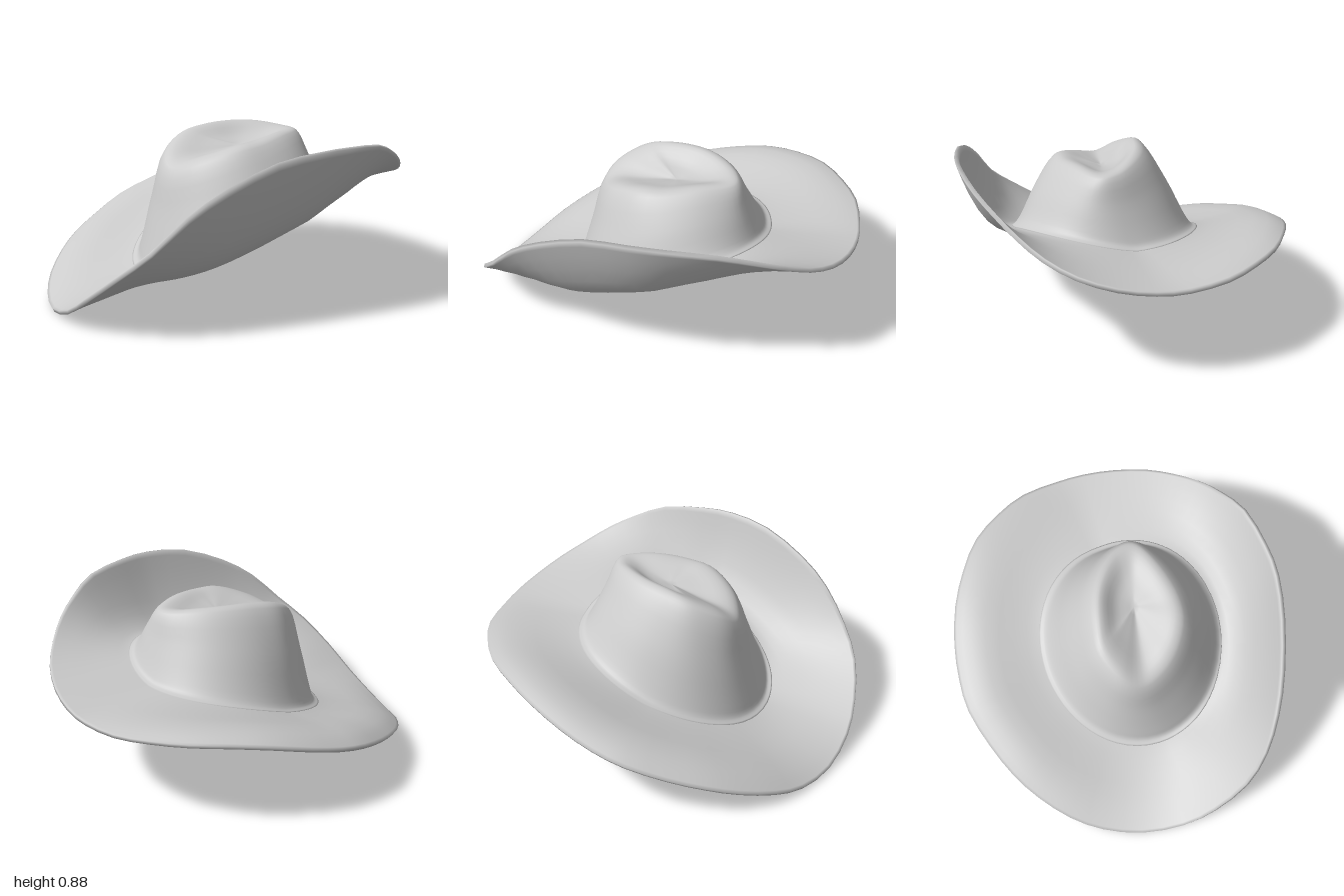
import * as THREE from 'three';
import { mergeVertices } from 'three/addons/utils/BufferGeometryUtils.js';

const V = (x, y, z) => new THREE.Vector3(x, y, z);
const closedCurve = (pts) => new THREE.CatmullRomCurve3(pts.map((p) => V(...p)), true, 'catmullrom', 0.5);
const COLUMNS = 62;

// Brim edge, from the back round by the right-hand side (-x) to the front and the raised side (+x)
const rim = closedCurve([
  [0, 0.53, -0.995], [-0.2, 0.54, -0.975], [-0.37, 0.55, -0.9], [-0.53, 0.555, -0.79], [-0.65, 0.54, -0.64],
  [-0.75, 0.505, -0.47], [-0.82, 0.445, -0.28], [-0.855, 0.385, -0.1], [-0.86, 0.335, 0.07], [-0.81, 0.265, 0.27],
  [-0.74, 0.205, 0.45], [-0.65, 0.145, 0.6], [-0.52, 0.08, 0.75], [-0.37, 0.03, 0.86], [-0.17, 0.025, 0.95],
  [0.05, 0.09, 0.995], [0.22, 0.2, 0.99], [0.4, 0.34, 0.94], [0.53, 0.47, 0.84], [0.625, 0.63, 0.7],
  [0.705, 0.75, 0.53], [0.785, 0.85, 0.3], [0.84, 0.88, 0.08], [0.85, 0.88, -0.1], [0.83, 0.86, -0.33],
  [0.77, 0.8, -0.5], [0.705, 0.74, -0.63], [0.615, 0.67, -0.75], [0.49, 0.61, -0.86], [0.33, 0.565, -0.94],
  [0.16, 0.54, -0.985],
]);

// Ridge around the dented crown top, every 30 degrees from +x towards +z
const ridge = closedCurve([
  [0.335, 0.845, 0.0], [0.31, 0.83, 0.14], [0.2, 0.775, 0.28], [0.04, 0.725, 0.35],
  [-0.07, 0.79, 0.3], [-0.13, 0.86, 0.16], [-0.11, 0.89, 0.02], [-0.06, 0.9, -0.13],
  [0.02, 0.895, -0.25], [0.13, 0.875, -0.34], [0.23, 0.865, -0.34], [0.3, 0.865, -0.18],
]);
const dent = V(0.12, 0.785, -0.04);

// Saddle-shaped oval where crown and brim meet
function seam(angle) {
  const c = Math.cos(angle), s = Math.sin(angle);
  const y = 0.35 - 0.168 * s + 0.06 * c + 0.07 * c * c + 0.05 * Math.abs(c) * Math.max(0, -s);
  return V(0.1 + 0.47 * c, y, 0.51 * s);
}

// Smooth surface through rows of points that close on themselves
function surface(rows) {
  const n = rows[0].length, index = [];
  for (let i = 0; i < rows.length - 1; i++) {
    for (let j = 0; j < n; j++) {
      const k = (j + 1) % n, a = i * n + j, b = a + n, c = i * n + k, d = c + n;
      index.push(a, b, c, c, b, d);
    }
  }
  const geometry = new THREE.BufferGeometry().setFromPoints(rows.flat());
  geometry.setIndex(index);
  geometry.computeVertexNormals();
  return geometry;
}

// Give a surface thickness by adding its inner side, in reverse row order
function shell(rows, thickness) {
  const normals = surface(rows).getAttribute('normal');
  const n = rows[0].length;
  const inner = rows.map((row, i) => row.map((p, j) =>
    p.clone().addScaledVector(V(0, 0, 0).fromBufferAttribute(normals, i * n + j), -thickness)));
  const geometry = mergeVertices(surface([...rows, ...inner.reverse()]).deleteAttribute('normal'), 1e-5);
  geometry.computeVertexNormals();
  return geometry;
}

export function createModel() {
  const group = new THREE.Group();
  group.name = 'cowboyHat';
  const material = new THREE.MeshStandardMaterial({ color: 0xcccccc, roughness: 0.8, side: THREE.DoubleSide });

  const brimSteps = [-0.03, 0, 0.06, 0.12, 0.2, 0.35, 0.5, 0.65, 0.8, 0.9, 0.97, 1];
  const crownSteps = 28;
  const brimRows = brimSteps.map(() => []);
  const crownRows = Array.from({ length: crownSteps + 1 }, () => []);

  for (let j = 0; j < COLUMNS; j++) {
    const edge = rim.getPoint(j / COLUMNS);
    const angle = Math.atan2(edge.z / 0.51, (edge.x - 0.1) / 0.47);
    const base = seam(angle);
    const top = ridge.getPoint((angle / (2 * Math.PI) + 1) % 1);

    // Brim section: arched on the low side, curling upward where the edge is raised
    const power = 1 + 1.5 * THREE.MathUtils.clamp((edge.y - base.y) / 0.4, 0, 1);
    const arch = 0.05 * Math.max(0, -Math.cos(angle));
    const brimPoint = (s) => {
      const p = base.clone().lerp(edge, s), t = Math.max(s, 0);
      p.y = base.y + (edge.y - base.y) * Math.pow(t, power) + arch * Math.sin(Math.PI * t * t);
      return p;
    };
    brimSteps.forEach((s, i) => brimRows[i].push(brimPoint(s)));

    // Crown section: from the dent, over the rounded ridge, down the wall and out onto the brim
    const hollow = top.clone().lerp(dent, 0.55);
    hollow.y = Math.min(hollow.y, 0.815);
    const wall = top.clone().lerp(base, 0.45);
    wall.x += (wall.x - 0.1) * 0.05;
    const section = new THREE.CatmullRomCurve3([
      dent, hollow, top.clone().lerp(dent, 0.15), top.clone().lerp(base, 0.07),
      wall, base.clone().lerp(top, 0.13), base.clone().add(V(0, 0.012, 0)), brimPoint(0.06),
    ], false, 'centripetal');
    crownRows.forEach((row, i) => row.push(section.getPoint(i / crownSteps)));
  }

  const brim = new THREE.Mesh(shell(brimRows, 0.02), material);
  brim.name = 'brim';
  const crown = new THREE.Mesh(shell(crownRows, 0.012), material);
  crown.name = 'crown';
  group.add(brim, crown);
  return group;
}
